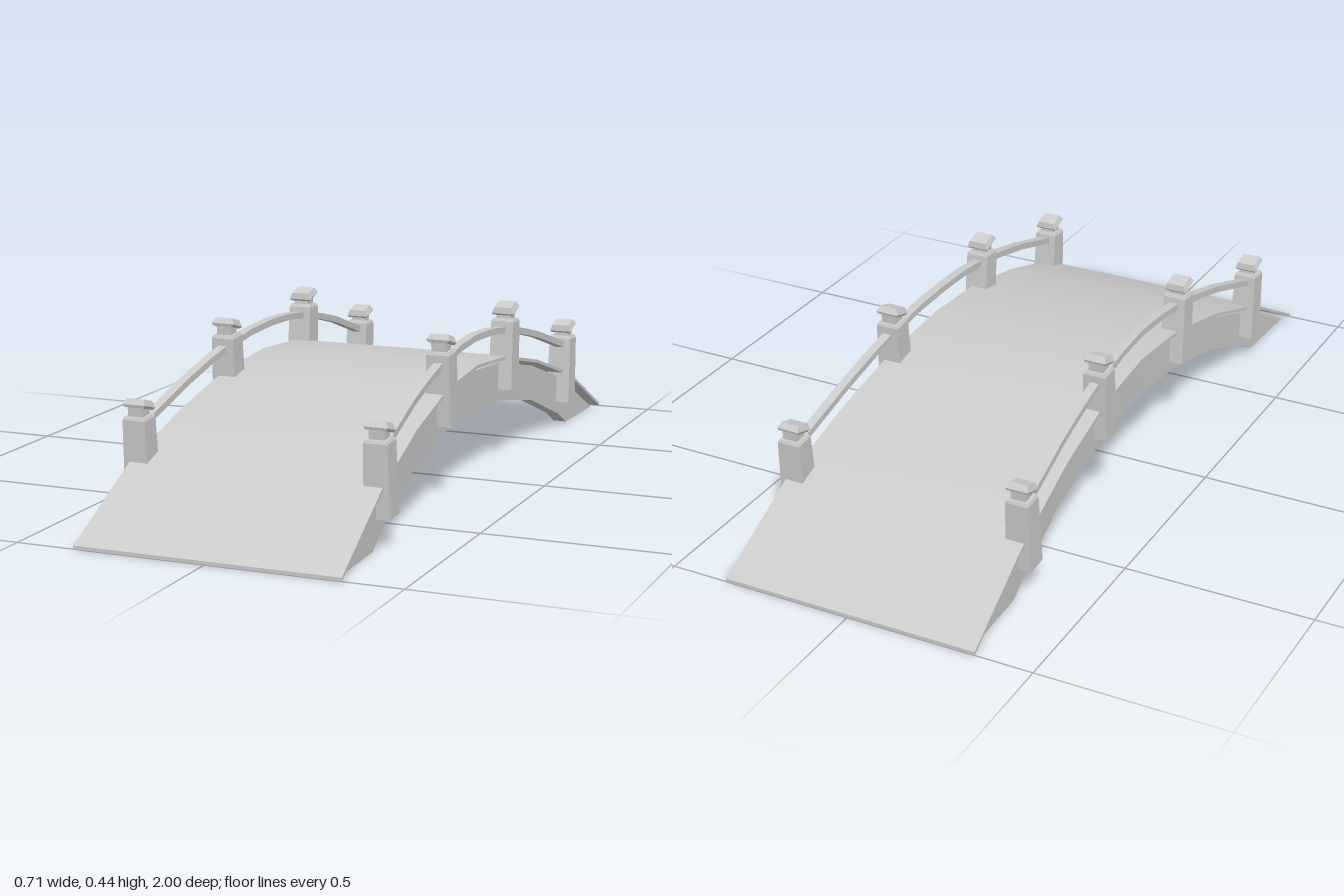
import * as THREE from 'three';
import { toCreasedNormals } from 'three/addons/utils/BufferGeometryUtils.js';

const grey = new THREE.MeshStandardMaterial({ color: 0xcccccc });
const greyFlat = new THREE.MeshStandardMaterial({ color: 0xcccccc, flatShading: true });

// Height profiles as [distance from mid-span, height]
const DECK = [[0, 0.31], [0.23, 0.293], [0.47, 0.238], [0.73, 0.153], [1, 0.009]];
const BEAM_TOP = [[0, 0.29], [0.23, 0.275], [0.47, 0.22], [0.7, 0.142], [0.97, 0.003]];
const BEAM_BOTTOM = [[0, 0.18], [0.22, 0.17], [0.47, 0.12], [0.67, 0.045], [0.75, 0], [0.97, 0]];
const RAIL = [[0, 0.392], [0.12, 0.387], [0.24, 0.372], [0.36, 0.348], [0.48, 0.318], [0.6, 0.28], [0.71, 0.245]];
const EDGE = [[0, 0.31], [0.25, 0.315], [0.47, 0.323], [0.73, 0.337], [1, 0.347]];

// Linear lookup in a symmetric profile
function at(profile, z) {
  const d = Math.abs(z);
  for (let i = 1; i < profile.length; i++) {
    const [d0, v0] = profile[i - 1], [d1, v1] = profile[i];
    if (d <= d1) return v0 + ((v1 - v0) * (d - d0)) / (d1 - d0);
  }
  return profile[profile.length - 1][1];
}

const mirrored = (list) => [...list.slice(1).reverse().map((d) => -d), ...list];

// Rectangular section swept along z; section(z) gives [x0, x1, y0, y1]
function sweep(name, stations, section) {
  const pos = [], index = [];
  const zs = mirrored(stations);
  zs.forEach((z, i) => {
    const [x0, x1, y0, y1] = section(z);
    pos.push(x0, y0, z, x1, y0, z, x1, y1, z, x0, y1, z);
    if (i === 0) return;
    const a = (i - 1) * 4, b = i * 4;
    for (let j = 0; j < 4; j++) {
      const k = (j + 1) % 4;
      index.push(a + j, a + k, b + k, a + j, b + k, b + j);
    }
  });
  const e = (zs.length - 1) * 4;
  index.push(0, 2, 1, 0, 3, 2, e, e + 1, e + 2, e, e + 2, e + 3);
  const geo = new THREE.BufferGeometry();
  geo.setAttribute('position', new THREE.Float32BufferAttribute(pos, 3));
  geo.setIndex(index);
  const mesh = new THREE.Mesh(toCreasedNormals(geo, 0.7), grey);
  mesh.name = name;
  return mesh;
}

// Square turned piece; profile rows are [half width, height]
function squareTurned(name, profile) {
  const pts = profile.map(([w, y]) => new THREE.Vector2(w * Math.SQRT2, y));
  const geo = new THREE.LatheGeometry(pts, 4, Math.PI / 4);
  geo.scale(1, 1, 0.9);
  const mesh = new THREE.Mesh(geo, greyFlat);
  mesh.name = name;
  return mesh;
}

function makePost(x, y, z) {
  const post = new THREE.Group();
  post.name = 'post';
  const out = Math.sign(z);
  post.add(squareTurned('postBody', [[0, 0], [0.034, 0], [0.031, 0.186], [0.027, 0.194], [0, 0.194]]));
  post.add(squareTurned('postNeck', [[0, 0.19], [0.02, 0.19], [0.02, 0.218], [0, 0.218]]));
  // Cap tips toward mid-span
  const cap = squareTurned('postCap', [[0, 0], [0.027, 0], [0.031, 0.006], [0.024, 0.022], [0, 0.022]]);
  cap.position.y = 0.211;
  cap.rotation.x = -0.35 * out;
  post.add(cap);
  post.position.set(x, y, z);
  post.rotation.x = 0.07 * out;
  return post;
}

export function createModel() {
  const bridge = new THREE.Group();
  bridge.name = 'archedBridge';

  // Thin walkway, slightly waisted at mid-span
  bridge.add(sweep('deck', [0, 0.23, 0.47, 0.73, 1], (z) => {
    const w = at(EDGE, z), y = at(DECK, z);
    return [-w, w, y - 0.009, y];
  }));

  for (const side of [1, -1]) {
    const name = side > 0 ? 'left' : 'right';
    const span = (inner, outer) => (side > 0 ? [inner, outer] : [-outer, -inner]);

    // Curved beam under the deck edge
    bridge.add(sweep(name + 'Beam', [0, 0.22, 0.47, 0.68, 0.75, 0.97], (z) => {
      const w = at(EDGE, z);
      return [...span(w - 0.055, w - 0.018), at(BEAM_BOTTOM, z), at(BEAM_TOP, z)];
    }));

    // Handrail
    bridge.add(sweep(name + 'Rail', RAIL.map((p) => p[0]), (z) => {
      const w = at(EDGE, z) - 0.014, y = at(RAIL, z);
      return [...span(w - 0.012, w + 0.012), y - 0.018, y];
    }));

    // Posts
    for (const end of [1, -1]) {
      bridge.add(makePost(side * 0.32, 0.075, end * 0.695));
      bridge.add(makePost(side * 0.301, 0.201, end * 0.235));
    }
  }
  return bridge;
}
